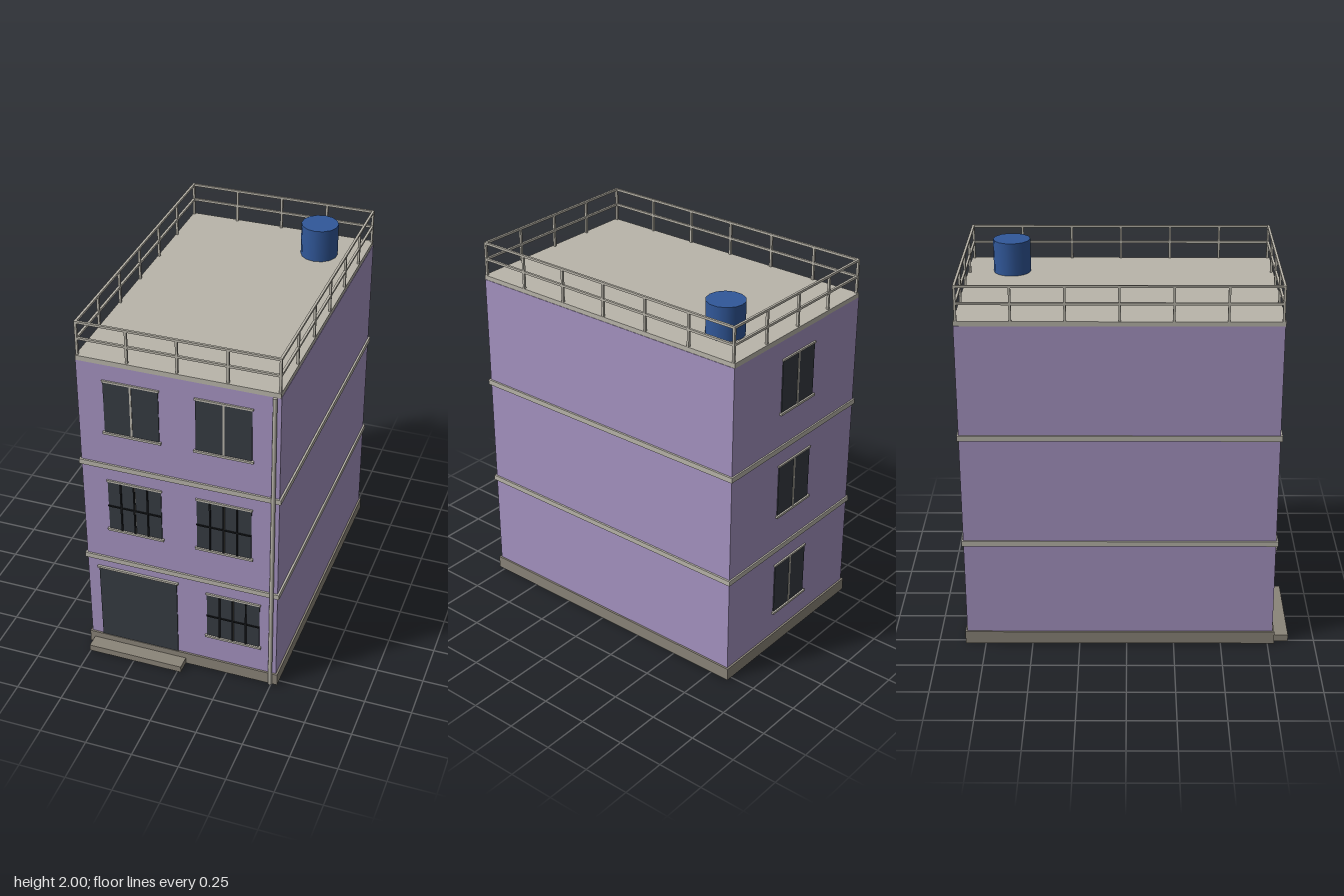
import * as THREE from 'three';

const mat = (name, color) => {
  const m = new THREE.MeshStandardMaterial({ color });
  m.name = name;
  return m;
};

export function createModel() {
  const wall = mat('lilac wall', 0xa593c1);
  const trim = mat('pale concrete', 0xb9b5aa);
  const plinthMat = mat('dark concrete', 0x8b8579);
  const glass = mat('dark glass', 0x363b42);
  const iron = mat('black iron', 0x16181b);
  const blue = mat('blue plastic', 0x31589a);
  const model = new THREE.Group();
  model.name = 'house';

  // Box given by its extents
  function box(parent, name, m, x0, x1, y0, y1, z0, z1) {
    const mesh = new THREE.Mesh(new THREE.BoxGeometry(x1 - x0, y1 - y0, z1 - z0), m);
    mesh.position.set((x0 + x1) / 2, (y0 + y1) / 2, (z0 + z1) / 2);
    mesh.name = name;
    parent.add(mesh);
    return mesh;
  }
  const group = (name) => {
    const g = new THREE.Group();
    g.name = name;
    model.add(g);
    return g;
  };

  const front = 0.776, back = -0.848;

  // Main volume, plinth, floor bands, roof and doorstep
  box(model, 'walls', wall, -0.522, 0.522, 0, 1.792, back, front);
  box(model, 'plinth', plinthMat, -0.532, 0.532, 0.001, 0.07, back - 0.01, front + 0.01);
  for (const y of [0.598, 1.195])
    box(model, 'floorBand', trim, -0.532, 0.532, y - 0.014, y + 0.014, back - 0.008, front + 0.01);
  box(model, 'roofSlab', trim, -0.52, 0.52, 1.79, 1.816, back, front + 0.004);
  box(model, 'doorstep', plinthMat, -0.505, 0.02, 0, 0.036, front, 0.862);

  // Window built facing +z with its wall plane at z = 0
  function addWindow(name, x, y0, y1, w, grille, isBack) {
    const g = group(name), h = w / 2, ym = (y0 + y1) / 2;
    box(g, 'pane', glass, -h, h, y0, y1, -0.002, 0.005);
    box(g, 'mullion', trim, -0.005, 0.005, y0, y1, 0, 0.008);
    box(g, 'sill', trim, -h - 0.01, h + 0.01, y0 - 0.012, y0, 0, 0.014);
    box(g, 'lintel', trim, -h - 0.005, h + 0.005, y1, y1 + 0.01, 0, 0.009);
    if (grille) {
      for (const i of [-1, 0, 1])
        box(g, 'grilleBar', iron, i * w / 4 - 0.004, i * w / 4 + 0.004, y0 + 0.003, y1 - 0.003, 0.008, 0.015);
      box(g, 'grilleRail', iron, -h, h, ym - 0.004, ym + 0.004, 0.009, 0.014);
    }
    g.position.set(x, 0, isBack ? back : front);
    if (isBack) g.rotation.y = Math.PI;
  }
  for (const x of [-0.24, 0.237]) {
    addWindow('upperWindow', x, 1.405, 1.692, 0.287, false, false);
    addWindow('middleWindow', x, 0.808, 1.1, 0.287, true, false);
  }
  addWindow('groundWindow', 0.285, 0.235, 0.506, 0.287, true, false);
  for (const y of [0.21, 0.806, 1.4]) addWindow('backWindow', 0, y, y + 0.282, 0.265, false, true);

  // Wide entrance door with lintel
  box(model, 'door', glass, -0.457, -0.024, 0.06, 0.527, front - 0.002, front + 0.006);
  box(model, 'doorLintel', trim, -0.466, -0.015, 0.527, 0.539, front, front + 0.012);

  // Drain pipe on the front corner
  const pipe = new THREE.Mesh(new THREE.CylinderGeometry(0.011, 0.011, 1.79, 8), trim);
  pipe.name = 'drainPipe';
  pipe.position.set(0.493, 0.895, front + 0.01);
  model.add(pipe);

  // Roof railing
  const railing = group('railing');
  const rx = 0.513, zf = 0.767, zb = -0.836, t = 0.006;
  const post = (x, z) => box(railing, 'post', trim, x - t, x + t, 1.815, 1.992, z - t, z + t);
  for (let i = 0; i <= 4; i++) for (const z of [zf, zb]) post(-rx + i * rx / 2, z);
  for (let i = 1; i < 6; i++) for (const x of [-rx, rx]) post(x, zb + i * (zf - zb) / 6);
  for (const y of [1.906, 1.994]) {
    for (const z of [zf, zb]) box(railing, 'rail', trim, -rx - t, rx + t, y - t, y + t, z - t, z + t);
    for (const x of [-rx, rx]) box(railing, 'rail', trim, x - t, x + t, y - t, y + t, zb + t, zf - t);
  }

  // Water tank
  const tank = new THREE.Mesh(new THREE.CylinderGeometry(0.099, 0.099, 0.178, 14), blue);
  tank.name = 'waterTank';
  tank.position.set(0.284, 1.904, -0.612);
  model.add(tank);

  return model;
}
